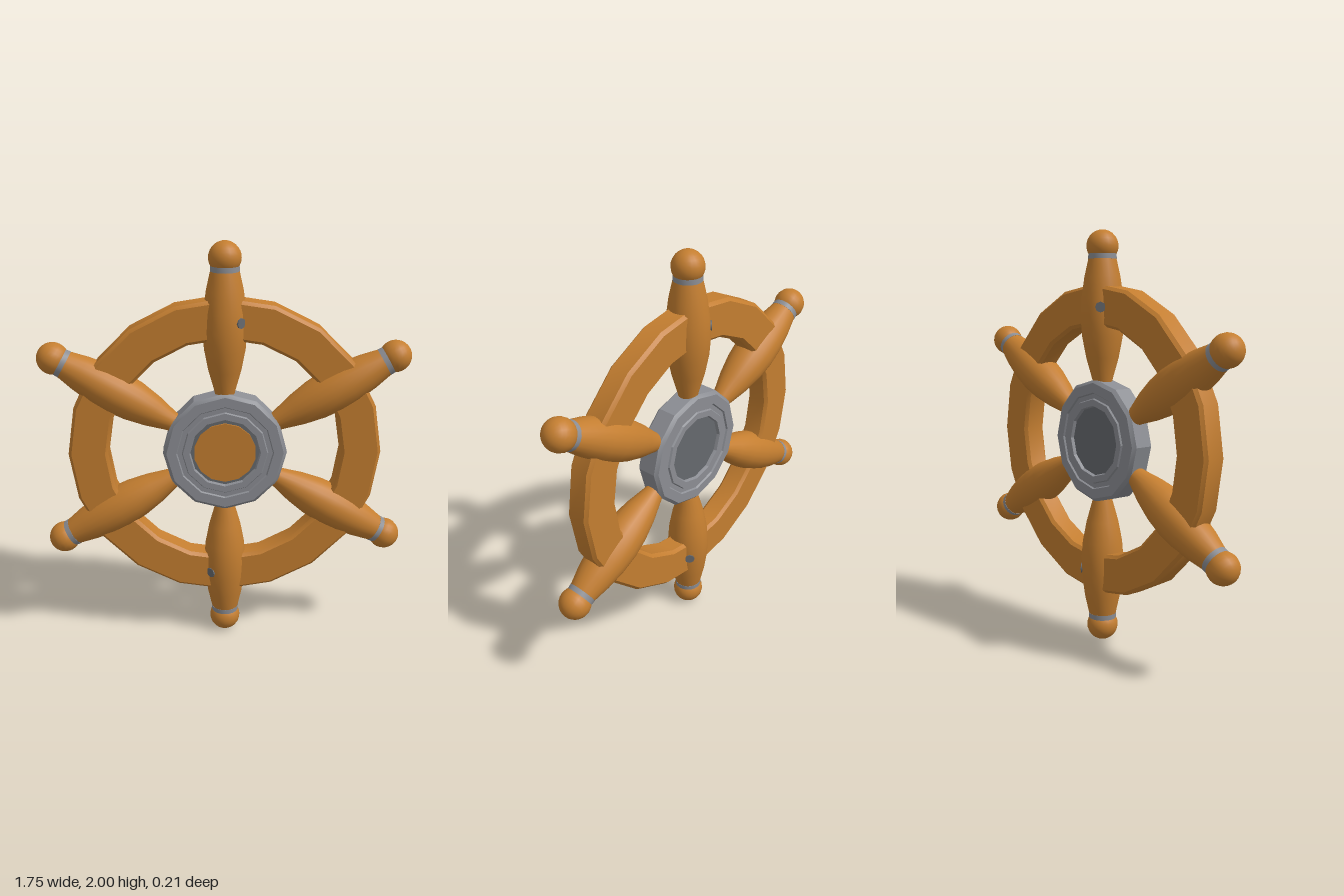
import * as THREE from 'three';
import { toCreasedNormals } from 'three/addons/utils/BufferGeometryUtils.js';

export function createModel() {
  const wood = new THREE.MeshStandardMaterial({ color: 0xc47e30 });
  wood.name = 'wood';
  const metal = new THREE.MeshStandardMaterial({ color: 0x8c8e94 });
  metal.name = 'metal';
  const darkMetal = new THREE.MeshStandardMaterial({ color: 0x66696e });
  darkMetal.name = 'darkMetal';

  const model = new THREE.Group();
  model.name = 'shipWheel';
  const wheel = new THREE.Group();
  wheel.name = 'wheel';
  wheel.position.y = 1;
  model.add(wheel);

  const lathe = (points, sides, crease) => toCreasedNormals(
    new THREE.LatheGeometry(points.map(([r, y]) => new THREE.Vector2(r, y)), sides), crease);
  const add = (parent, name, geometry, material) => {
    const mesh = new THREE.Mesh(geometry, material);
    mesh.name = name;
    parent.add(mesh);
    return mesh;
  };
  // Turns a shape made around y so that its axis runs front to back
  const facing = (geometry, z = 0) => geometry.rotateX(Math.PI / 2).translate(0, 0, z);

  // Rim: bevelled twenty-sided ring
  add(wheel, 'rim', facing(lathe([
    [0.735, -0.06], [0.75, -0.045], [0.75, 0.045], [0.735, 0.06],
    [0.575, 0.06], [0.56, 0.045], [0.56, -0.045], [0.575, -0.06], [0.735, -0.06],
  ], 20, 0.6)), wood);

  // Hub: twelve-sided ring with a shallow groove on both faces
  const halfHub = [
    [0.298, 0.045], [0.282, 0.06], [0.235, 0.06], [0.23, 0.052],
    [0.208, 0.052], [0.203, 0.06], [0.172, 0.06], [0.165, 0.04],
  ];
  const mirrored = halfHub.map(([r, y]) => [r, -y]).reverse();
  add(wheel, 'hub', facing(lathe([...mirrored, ...halfHub, mirrored[0]], 12, 0.4)), metal);

  // Hub centre: dark core with a wooden plate on the front
  add(wheel, 'hubCore', facing(new THREE.CylinderGeometry(0.17, 0.17, 0.09, 16)), darkMetal);
  add(wheel, 'hubPlate', facing(new THREE.CylinderGeometry(0.15, 0.15, 0.008, 14), 0.049), wood);

  // Spokes: turned handle, metal band and round knob
  const handle = lathe([
    [0, 0.24], [0.038, 0.24], [0.05, 0.3], [0.078, 0.4], [0.097, 0.5], [0.104, 0.59],
    [0.1, 0.68], [0.086, 0.78], [0.066, 0.87], [0, 0.87],
  ], 20, 0.7);
  const band = lathe([[0, 0.865], [0.068, 0.865], [0.066, 0.905], [0, 0.905]], 20, 0.7);
  const knob = new THREE.SphereGeometry(0.076, 20, 14).translate(0, 0.925, 0);
  const pin = new THREE.CylinderGeometry(0.025, 0.025, 0.212, 8)
    .rotateX(Math.PI / 2).rotateY(Math.PI / 4).translate(0, 0.64, 0);

  for (let i = 0; i < 6; i++) {
    const spoke = new THREE.Group();
    spoke.name = 'spoke' + (i + 1);
    spoke.rotation.z = i * Math.PI / 3;
    add(spoke, 'handle', handle, wood);
    add(spoke, 'band', band, metal);
    add(spoke, 'knob', knob, wood);
    if (i % 3 === 0) add(spoke, 'pin', pin, darkMetal);
    wheel.add(spoke);
  }
  return model;
}
